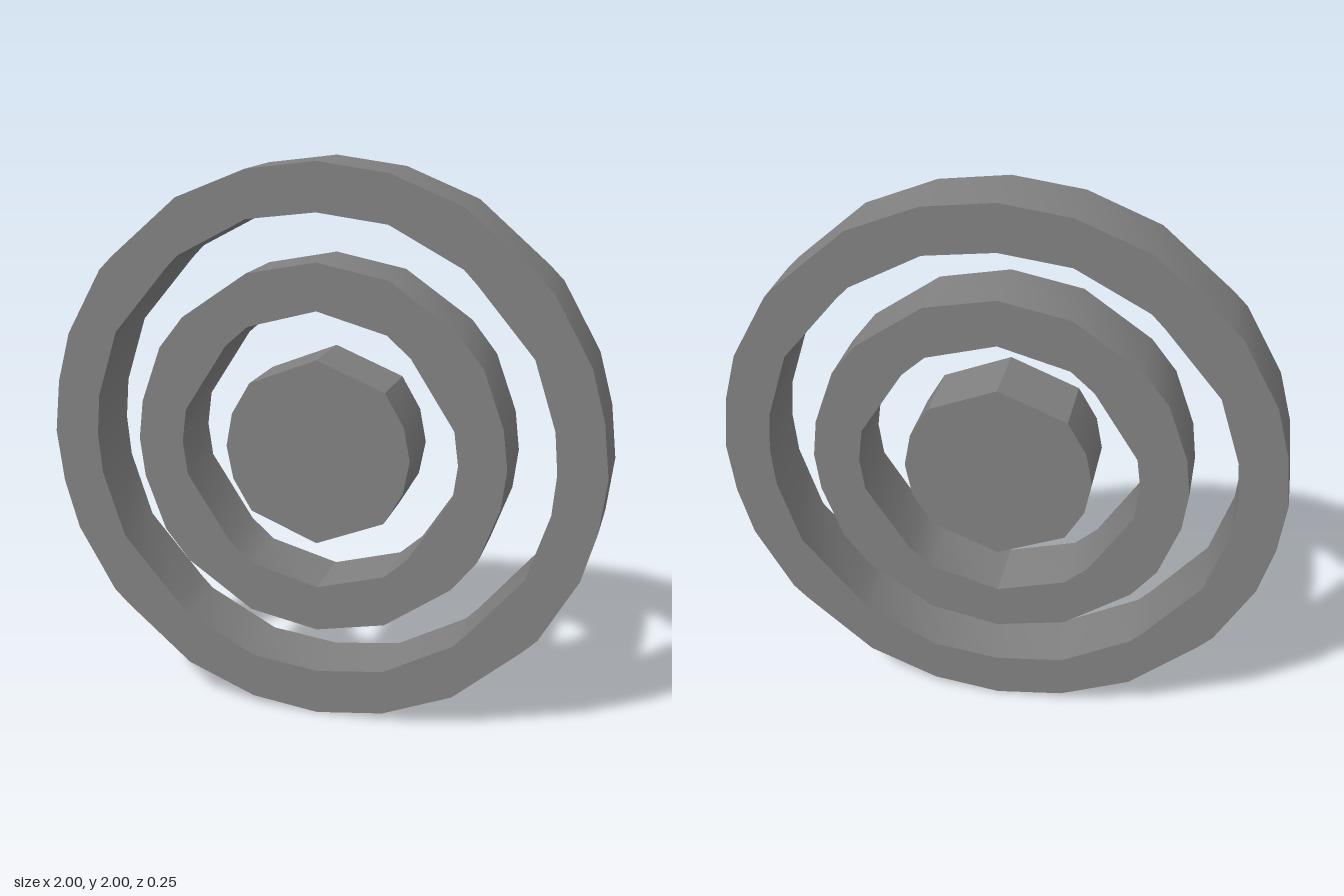
import * as THREE from 'three';
import { toCreasedNormals } from 'three/addons/utils/BufferGeometryUtils.js';

const DEPTH = 0.25;

// Quarter outlines, from the +x axis round to the +y axis
const OUTER_RIM = [[1, 0], [0.978, 0.19], [0.928, 0.37], [0.795, 0.605], [0.745, 0.655], [0.5, 0.866], [0.247, 0.968], [0, 1]];
const OUTER_HOLE = [[0.833, 0], [0.82, 0.147], [0.743, 0.385], [0.545, 0.62], [0.5, 0.667], [0.247, 0.802], [0, 0.833]];
const MIDDLE_RIM = [[0.667, 0], [0.65, 0.14], [0.577, 0.34], [0.488, 0.453], [0.25, 0.618], [0, 0.667]];
const MIDDLE_HOLE = [[0.5, 0], [0.484, 0.12], [0.33, 0.36], [0.247, 0.434], [0, 0.502]];
const DISC_RIM = [[0.333, 0], [0.31, 0.12], [0.243, 0.235], [0, 0.333]];

// Mirror a quarter outline into a closed counter-clockwise loop
function mirrored(quarter) {
  const back = [...quarter].reverse();
  const loop = [
    ...quarter.slice(0, -1),
    ...back.slice(0, -1).map(([x, y]) => [-x, y]),
    ...quarter.slice(0, -1).map(([x, y]) => [-x, -y]),
    ...back.slice(0, -1).map(([x, y]) => [x, -y]),
  ];
  return loop.map(([x, y]) => new THREE.Vector2(x, y));
}

function slab(name, rim, hole, material) {
  const shape = new THREE.Shape(mirrored(rim));
  if (hole) shape.holes.push(new THREE.Path(mirrored(hole)));
  const geometry = new THREE.ExtrudeGeometry(shape, { depth: DEPTH, bevelEnabled: false });
  geometry.translate(0, 1, -DEPTH / 2);
  const mesh = new THREE.Mesh(toCreasedNormals(geometry, 0.5), material);
  mesh.name = name;
  return mesh;
}

export function createModel() {
  const grey = new THREE.MeshStandardMaterial({ color: 0x808080 });
  grey.name = 'grey';

  // Two concentric rings around a solid disc
  const group = new THREE.Group();
  group.name = 'target';
  group.add(
    slab('outerRing', OUTER_RIM, OUTER_HOLE, grey),
    slab('middleRing', MIDDLE_RIM, MIDDLE_HOLE, grey),
    slab('centreDisc', DISC_RIM, null, grey),
  );
  return group;
}
